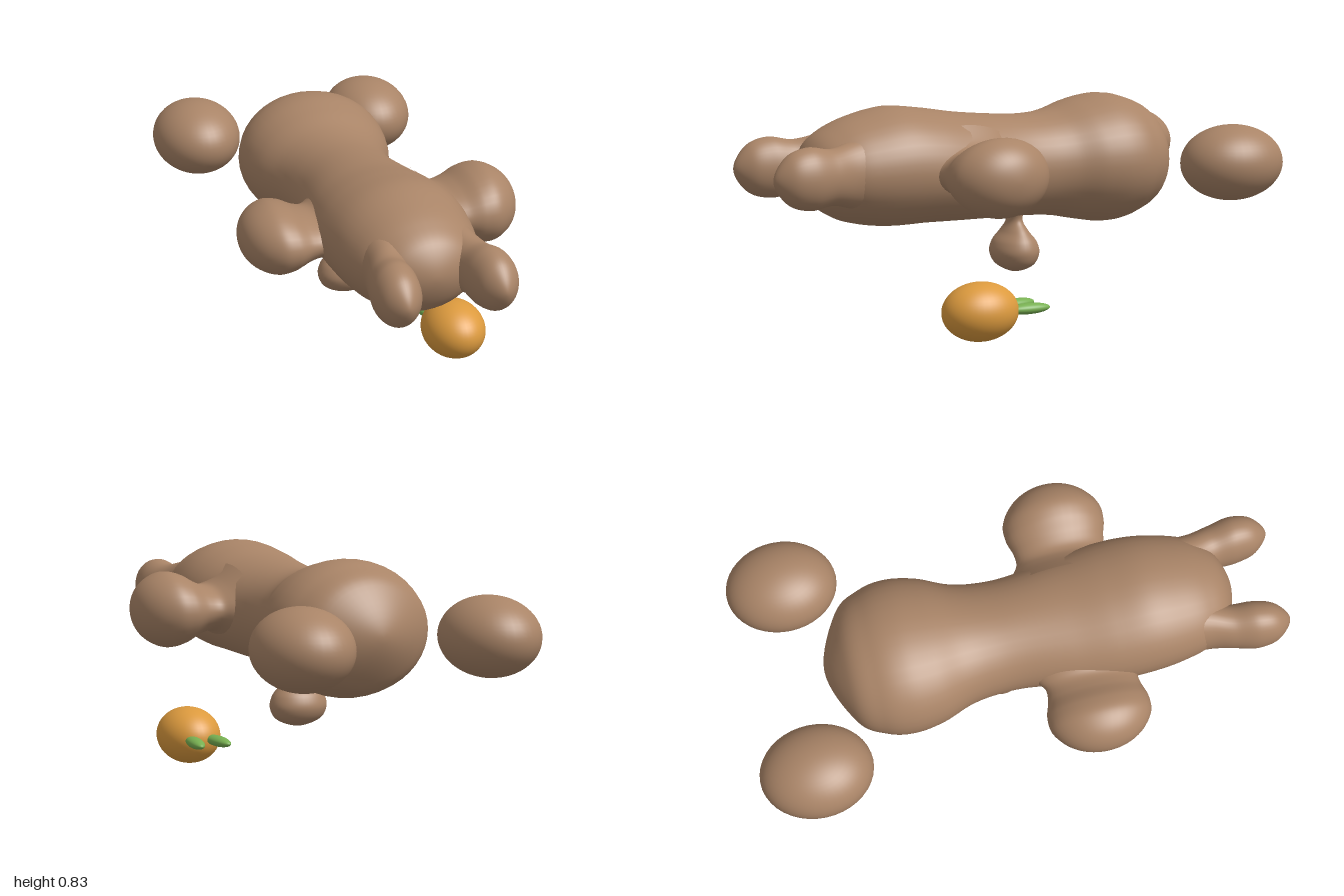
import * as THREE from 'three';
import { mergeVertices } from 'three/addons/utils/BufferGeometryUtils.js';

const X = new THREE.Vector3(1, 0, 0);
const Y = new THREE.Vector3(0, 1, 0);
const Z = new THREE.Vector3(0, 0, 1);

// Smooth loft through elliptical sections [x, y, z, radiusU, radiusV]; u cross v points along the loft.
// A section with zero radius becomes a rounded end.
function loft(sections, u, v, sides = 40, stepsPer = 8) {
  const mirror = (s) => [s[0], s[1], s[2], -s[3], -s[4]];
  const n = sections.length;
  const end = (a, b) => (a[3] === 0 ? mirror(b) : a);
  const all = [end(sections[0], sections[1]), ...sections, end(sections[n - 1], sections[n - 2])];
  const centres = new THREE.CatmullRomCurve3(
    all.map((s) => new THREE.Vector3(s[0], s[1], s[2])), false, 'catmullrom');
  const radii = new THREE.CatmullRomCurve3(
    all.map((s) => new THREE.Vector3(s[3], s[4], 0)), false, 'catmullrom');
  const rings = (n - 1) * stepsPer;
  const pos = [], index = [];
  for (let i = 0; i <= rings; i++) {
    const t = (1 + i / stepsPer) / (all.length - 1);
    const c = centres.getPoint(t), r = radii.getPoint(t);
    for (let j = 0; j < sides; j++) {
      const a = (j / sides) * Math.PI * 2;
      const p = c.clone().addScaledVector(u, Math.cos(a) * r.x).addScaledVector(v, Math.sin(a) * r.y);
      pos.push(p.x, p.y, p.z);
      if (i < rings) {
        const k = (j + 1) % sides, a0 = i * sides, a1 = a0 + sides;
        index.push(a0 + j, a0 + k, a1 + k, a0 + j, a1 + k, a1 + j);
      }
    }
  }
  let g = new THREE.BufferGeometry();
  g.setAttribute('position', new THREE.Float32BufferAttribute(pos, 3));
  g.setIndex(index);
  g = mergeVertices(g, 1e-5);
  g.computeVertexNormals();
  return g;
}

function material(name, color) {
  const m = new THREE.MeshStandardMaterial({ color });
  m.name = name;
  return m;
}

export function createModel() {
  const group = new THREE.Group();
  const brown = material('brown fur', 0xa98467);
  const orange = material('carrot orange', 0xdc9a3e);
  const green = material('leaf green', 0x78b052);

  function add(name, geometry, mat) {
    const mesh = new THREE.Mesh(geometry, mat);
    mesh.name = name;
    group.add(mesh);
    return mesh;
  }
  function ellipsoid(name, mat, centre, radii) {
    const mesh = add(name, new THREE.SphereGeometry(1, 40, 28), mat);
    mesh.position.set(...centre);
    mesh.scale.set(...radii);
    return mesh;
  }

  // Long body with a round rear
  add('body', loft([
    [0, 0.585, -0.70, 0, 0],
    [0, 0.585, -0.62, 0.205, 0.172],
    [0, 0.585, -0.52, 0.272, 0.230],
    [0, 0.585, -0.42, 0.290, 0.246],
    [0, 0.584, -0.31, 0.272, 0.229],
    [0, 0.580, -0.20, 0.228, 0.202],
    [0, 0.579, -0.10, 0.210, 0.192],
    [0, 0.583, 0.02, 0.210, 0.193],
    [0, 0.594, 0.20, 0.240, 0.200],
    [0, 0.608, 0.35, 0.258, 0.210],
    [0, 0.614, 0.48, 0.256, 0.216],
    [0, 0.610, 0.60, 0.238, 0.198],
    [0, 0.608, 0.70, 0.205, 0.165],
    [0, 0.612, 0.78, 0.135, 0.105],
    [0, 0.615, 0.82, 0, 0],
  ], X, Y), brown);

  // Arms: flared shoulder, narrow neck, rounded end; one is slightly longer
  function arm(name, side, scale, y, reach) {
    const profile = [
      [0.15, 0.160, 0.240],
      [0.21, 0.105, 0.195],
      [0.25, 0.087, 0.170],
      [0.30, 0.100, 0.172],
      [0.36, 0.132, 0.188],
      [0.42, 0.141, 0.184],
      [0.48, 0.114, 0.143],
      [0.52, 0.066, 0.080],
      [0.535, 0, 0],
    ];
    const sections = profile.map(([x, ry, rz]) => {
      const out = 0.15 + (x - 0.15) * reach;
      return [side * out, y, 0.24, ry * scale, rz];
    });
    add(name, side > 0 ? loft(sections, Y, Z) : loft(sections.map((s) => [s[0], s[1], s[2], s[4], s[3]]), Z, Y), brown);
  }
  arm('leftArm', 1, 1, 0.602, 1);
  arm('rightArm', -1, 0.88, 0.588, 0.935);

  for (const [side, label] of [[1, 'left'], [-1, 'right']]) {
    // Front lobes blending out of the body
    add(label + 'FrontLobe', loft([
      [side * 0.105, 0.610, 0.60, 0.110, 0.150],
      [side * 0.132, 0.612, 0.70, 0.086, 0.117],
      [side * 0.158, 0.614, 0.78, 0.078, 0.099],
      [side * 0.171, 0.616, 0.87, 0.083, 0.110],
      [side * 0.174, 0.616, 0.95, 0.063, 0.082],
      [side * 0.174, 0.616, 1.00, 0, 0],
    ], X, Y), brown);
    // Separate feet behind
    ellipsoid(label + 'Foot', brown, [side * 0.363, 0.58, -0.795], [0.170, 0.143, 0.205]);
    // Carrot leaves
    const leaf = ellipsoid(label + 'Leaf', green, [0.307 + side * 0.046, 0.112, 0.098], [0.028, 0.02, 0.085]);
    leaf.rotation.y = -side * 0.12;
  }

  // Hanging bulb under the belly
  add('hangingBulb', loft([
    [0, 0.45, -0.055, 0.085, 0.070],
    [0, 0.41, -0.055, 0.050, 0.038],
    [0, 0.37, -0.055, 0.041, 0.028],
    [0, 0.33, -0.055, 0.073, 0.047],
    [0, 0.29, -0.055, 0.102, 0.078],
    [0, 0.245, -0.055, 0.110, 0.088],
    [0, 0.20, -0.055, 0.083, 0.062],
    [0, 0.175, -0.055, 0, 0],
  ], X, Z), brown);

  // Carrot
  ellipsoid('carrot', orange, [0.305, 0.111, 0.27], [0.117, 0.107, 0.145]);
  return group;
}
